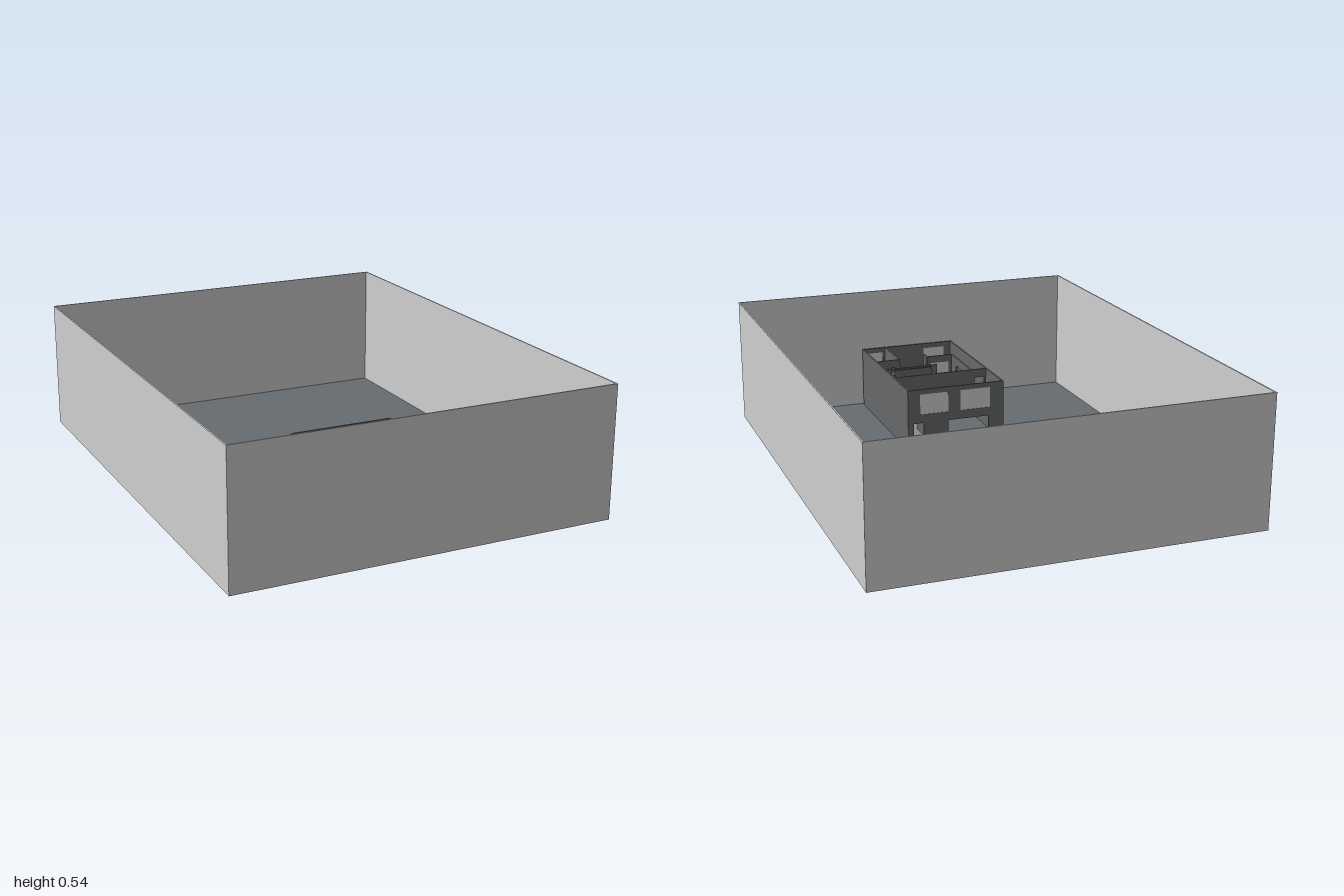
import * as THREE from 'three';

export function createModel() {
  const model = new THREE.Group();
  const material = (name, color) => {
    const m = new THREE.MeshStandardMaterial({ color });
    m.name = name;
    return m;
  };
  const boundaryGrey = material('boundary light grey', 0xcfcfcf);
  const groundSlate = material('ground slate', 0x676c70);
  const wallGrey = material('wall dark grey', 0x676869);
  const floorTan = material('floor tan', 0x958d7f);
  const glass = material('pale glass', 0xd2d4d5);

  const add = (name, geometry, mat, parent) => {
    const mesh = new THREE.Mesh(geometry, mat);
    mesh.name = name;
    parent.add(mesh);
    return mesh;
  };
  // Box given by its minimum and maximum on each axis
  const block = (name, x0, x1, y0, y1, z0, z1, mat, parent) =>
    add(name, new THREE.BoxGeometry(x1 - x0, y1 - y0, z1 - z0), mat, parent)
      .position.set((x0 + x1) / 2, (y0 + y1) / 2, (z0 + z1) / 2);

  // Ground slab and tall open-topped boundary
  const W = 0.777, H = 0.54, T = 0.006;
  block('ground', -W + T, W - T, 0, 0.004, -1 + T, 1 - T, groundSlate, model);
  const boundary = new THREE.Group();
  boundary.name = 'boundaryWalls';
  model.add(boundary);
  for (const s of [-1, 1]) {
    const x = s * (W - T / 2), z = s * (1 - T / 2);
    block('sideBoundary', x - T / 2, x + T / 2, 0.001, H, -1, 1, boundaryGrey, boundary);
    block('endBoundary', -W + T, W - T, 0.001, H, z - T / 2, z + T / 2, boundaryGrey, boundary);
  }

  const house = new THREE.Group();
  house.name = 'house';
  model.add(house);
  const X0 = -0.22, X1 = 0.215, Z0 = 0.29, Z1 = 0.98;
  const base = 0.004, deck = 0.133, top = 0.272, t = 0.007;

  // Wall along x or z with rectangular holes [a0, a1, y0, y1, glazed]
  const wall = (name, axis, at, a0, a1, y0, y1, openings = []) => {
    const group = new THREE.Group();
    group.name = name;
    const rect = (path, l, r, b, u) =>
      path.moveTo(l, b).lineTo(r, b).lineTo(r, u).lineTo(l, u).closePath();
    const shape = rect(new THREE.Shape(), a0, a1, y0, y1);
    for (const [l, r, b, u, glazed] of openings) {
      shape.holes.push(rect(new THREE.Path(), l, r, b, u));
      if (glazed) block('windowPane', l, r, b, u, -0.0015, 0.0015, glass, group);
    }
    const geometry = new THREE.ExtrudeGeometry(shape, { depth: t, bevelEnabled: false });
    geometry.translate(0, 0, -t / 2);
    add('wallPanel', geometry, wallGrey, group);
    if (axis === 'x') group.position.z = at;
    else {
      group.rotation.y = -Math.PI / 2;
      group.position.x = at;
    }
    house.add(group);
  };

  // Outer walls
  const upperWindows = [[-0.157, -0.022, 0.16, 0.25, true], [0.033, 0.16, 0.16, 0.25, true]];
  wall('backWall', 'x', Z0 + t / 2, X0, X1, base, top, [
    ...upperWindows,
    [0.145, 0.19, base + 0.002, 0.122],
    [-0.15, 0.033, base + 0.002, 0.122],
  ]);
  wall('frontWall', 'x', Z1 - t / 2, X0, X1, base, top, [
    [0.12, 0.195, 0.17, 0.25, true],
    [-0.18, -0.08, 0.17, 0.25, true],
    [0.02, 0.075, base + 0.002, 0.11],
  ]);
  for (const x of [X0 + t / 2, X1 - t / 2]) wall('sideWall', 'z', x, Z0 + t, Z1 - t, base, top);

  // Upper floor, cut out around the stairwell
  const outline = [
    [X0 + t, Z0 + t], [X1 - t, Z0 + t], [X1 - t, Z1 - t], [0.105, Z1 - t], [0.105, 0.805],
    [-0.035, 0.805], [-0.035, 0.87], [-0.14, 0.87], [-0.14, Z1 - t], [X0 + t, Z1 - t],
  ];
  const floorShape = new THREE.Shape(outline.map(([x, z]) => new THREE.Vector2(x, -z)));
  const floor = new THREE.ExtrudeGeometry(floorShape, { depth: 0.008, bevelEnabled: false });
  floor.rotateX(-Math.PI / 2);
  add('upperFloor', floor, floorTan, house).position.y = deck - 0.008;

  // Lower room floor
  block('lowerFloor', 0.06, X1 - t, base, 0.007, Z0 + t, 0.75, floorTan, house);

  // Upper partitions
  const doorTop = 0.235, sill = deck + 0.002;
  wall('bedroomWall', 'x', 0.495, X0 + t, X1 - t, deck, top, [[-0.205, -0.16, sill, doorTop]]);
  wall('corridorWall', 'z', -0.147, 0.499, 0.76, deck, top, [[0.64, 0.69, sill, doorTop]]);
  wall('bathroomWall', 'x', 0.628, -0.03, X1 - t, deck, top, [[-0.02, 0.03, sill, doorTop]]);
  wall('closetWall', 'x', 0.6, 0.005, 0.19, deck, top);
  wall('closetSide', 'z', 0.187, 0.499, 0.597, deck, top);
  wall('ductWall', 'x', 0.535, 0.19, X1 - t, deck, top);
  wall('studyWall', 'x', 0.76, 0.102, X1 - t, deck, top, [[0.125, 0.17, sill, doorTop]]);
  wall('studySide', 'z', 0.105, 0.764, Z1 - t, deck, top);
  wall('hallWall', 'x', 0.76, -0.147, -0.025, deck, top, [[-0.13, -0.045, 0.165, 0.24, true]]);
  wall('hallSide', 'z', -0.028, 0.764, 0.805, deck, top);

  // Lower partitions
  wall('garageSide', 'z', 0.09, Z0 + t, 0.75, base, deck - 0.008, [[0.55, 0.61, 0.006, 0.11]]);
  wall('garageEnd', 'x', 0.755, X0 + t, X1 - t, base, deck - 0.008, [[0.0, 0.06, 0.006, 0.11]]);

  // Stair rising toward the landing
  const stairs = new THREE.Group();
  stairs.name = 'stairs';
  house.add(stairs);
  const steps = 8, run = 0.16 / steps, rise = (deck - base) / (steps + 1);
  for (let i = 0; i < steps; i++) {
    const x = 0.02 - (i + 1) * run, y = base + (i + 1) * rise;
    block('tread', x, x + run, y - rise, y, 0.87, Z1 - t, floorTan, stairs);
  }

  // Sloping stair rail along the open side
  const rail = new THREE.Mesh(new THREE.BoxGeometry(0.2, 0.006, 0.005), wallGrey);
  rail.name = 'stairRail';
  rail.position.set(-0.06, 0.13, 0.868);
  rail.rotation.z = -Math.atan2(rise, run);
  stairs.add(rail);

  return model;
}
